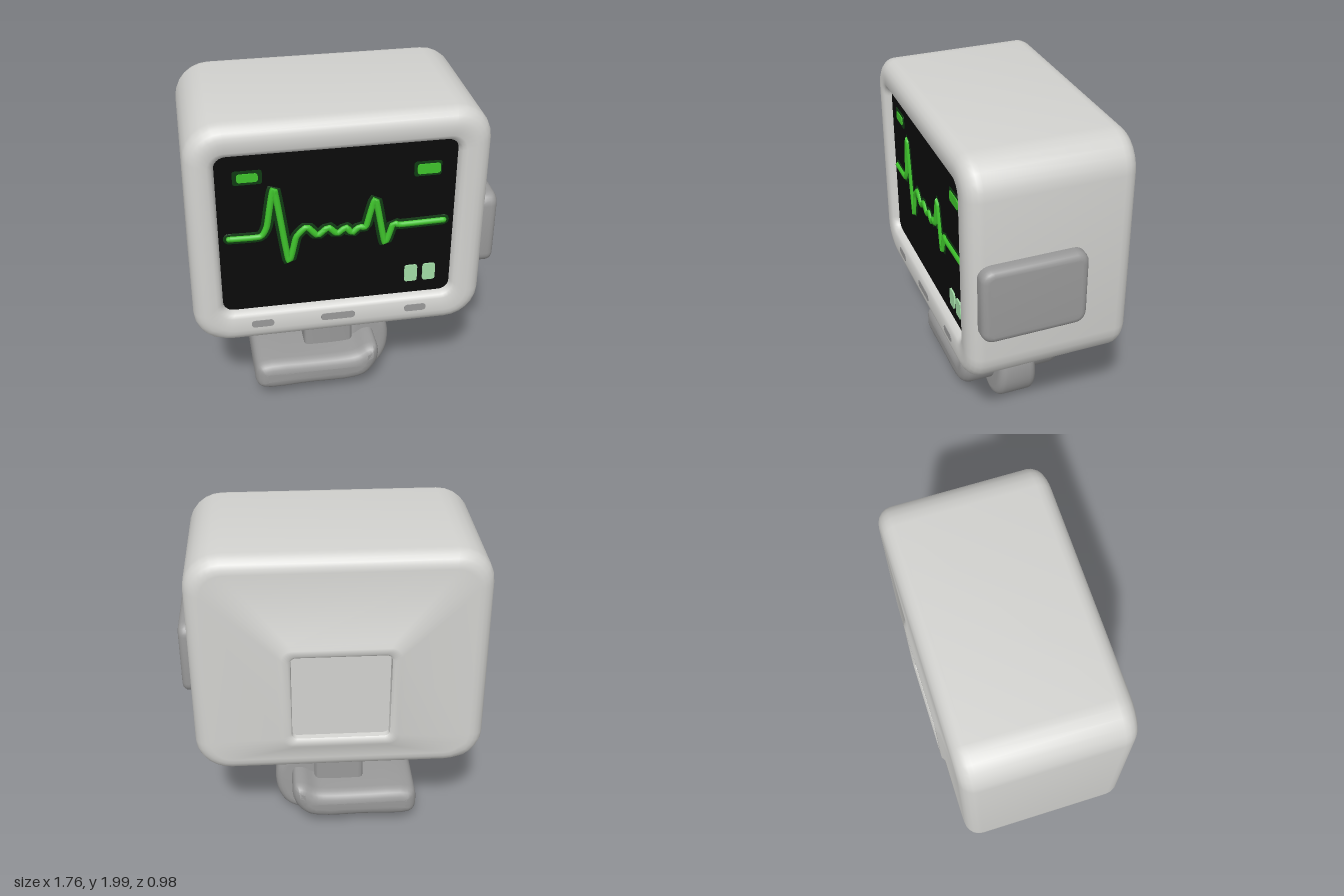
import * as THREE from 'three';
import { toCreasedNormals } from 'three/addons/utils/BufferGeometryUtils.js';

const mat = (name, color) => {
  const m = new THREE.MeshStandardMaterial({ color });
  m.name = name;
  return m;
};

// Rounded rectangle outline, counter-clockwise
function roundRect(x0, x1, y0, y1, r, k = 6) {
  const pts = [];
  const corners = [[x1 - r, y0 + r], [x1 - r, y1 - r], [x0 + r, y1 - r], [x0 + r, y0 + r]];
  corners.forEach(([cx, cy], q) => {
    for (let i = 0; i <= k; i++) {
      const a = (q - 1 + i / k) * Math.PI / 2;
      pts.push(new THREE.Vector2(cx + r * Math.cos(a), cy + r * Math.sin(a)));
    }
  });
  return pts;
}

// Skin over rounded rectangles [x0, x1, y0, y1, radius, z], capped at both ends
function loft(rings) {
  const pos = [], idx = [], n = 28;
  rings.forEach(([x0, x1, y0, y1, r, z]) =>
    roundRect(x0, x1, y0, y1, r).forEach(p => pos.push(p.x, p.y, z)));
  const last = rings.length - 1;
  for (const [x0, x1, y0, y1, , z] of [rings[0], rings[last]]) pos.push((x0 + x1) / 2, (y0 + y1) / 2, z);
  const c = rings.length * n;
  for (let i = 0; i < n; i++) {
    const j = (i + 1) % n;
    for (let s = 0; s < last; s++) {
      const a = s * n, b = a + n;
      idx.push(a + i, a + j, b + j, a + i, b + j, b + i);
    }
    idx.push(c, j, i, c + 1, last * n + i, last * n + j);
  }
  const g = new THREE.BufferGeometry();
  g.setAttribute('position', new THREE.Float32BufferAttribute(pos, 3));
  g.setIndex(idx);
  return g;
}

// Outline extruded from z0 to z1 with rounded edges inside the outline
function slab(pts, z0, z1, bevel) {
  const g = new THREE.ExtrudeGeometry(new THREE.Shape(pts), {
    depth: z1 - z0 - 2 * bevel, bevelEnabled: bevel > 0, bevelThickness: bevel,
    bevelSize: bevel, bevelOffset: -bevel, bevelSegments: 4,
  });
  return g.translate(0, 0, z0 + bevel);
}

// Smooth closed outline through a few points
const blob = pts => new THREE.CatmullRomCurve3(
  pts.map(([x, y]) => new THREE.Vector3(x, y, 0)), true, 'centripetal')
  .getPoints(48).slice(0, -1).map(p => new THREE.Vector2(p.x, p.y));

export function createModel() {
  const model = new THREE.Group();
  const shellMat = mat('light grey', 0xd2d2cf);
  const greyMat = mat('mid grey', 0x999999);
  const blackMat = mat('screen black', 0x0a0a0a);
  const greenMat = mat('trace green', 0x3fc42c);
  const glowMat = mat('dark green', 0x0f3a12);
  const paleMat = mat('pale green', 0xa2dca6);

  const add = (name, geo, material, smooth = 0.7) => {
    const mesh = new THREE.Mesh(toCreasedNormals(geo, smooth), material);
    mesh.name = name;
    model.add(mesh);
    return mesh;
  };

  // Housing: back hatch recess, raised hatch rim, rounded shell, recessed screen bezel
  const X0 = -0.865, X1 = 0.805, Y0 = 0.61, Y1 = 2.0;
  const edge = (i, z, r = 0.2) => [X0 + i, X1 - i, Y0 + i, Y1 - i, r - i * 0.8, z];
  const rings = [
    [-0.32, 0.24, 0.85, 1.39, 0.03, -0.45],
    [-0.325, 0.245, 0.845, 1.395, 0.035, -0.48],
    [-0.34, 0.26, 0.83, 1.41, 0.05, -0.492],
    [-0.375, 0.295, 0.795, 1.445, 0.06, -0.492],
    [-0.4, 0.32, 0.77, 1.47, 0.07, -0.475],
  ];
  const R = 0.09;
  for (let i = 0; i <= 5; i++) {
    const a = i / 5 * Math.PI / 2;
    rings.push(edge(R * (1 - Math.sin(a)), -0.475 + R * (1 - Math.cos(a))));
  }
  for (let i = 0; i <= 5; i++) {
    const a = i / 5 * Math.PI / 2;
    rings.push(edge(R * (1 - Math.cos(a)), 0.487 - R * (1 - Math.sin(a))));
  }
  rings.push(
    [-0.745, 0.655, 0.785, 1.855, 0.09, 0.485],
    [-0.725, 0.635, 0.805, 1.835, 0.08, 0.475],
    [-0.712, 0.622, 0.818, 1.822, 0.07, 0.455],
    [-0.708, 0.618, 0.822, 1.818, 0.06, 0.43]);
  const shell = loft(rings);
  const sp = shell.attributes.position;
  for (let i = 0; i < sp.count; i++) { // right flank flares slightly towards the bottom
    if (sp.getX(i) < -0.75) sp.setX(i, sp.getX(i) - 0.018 * (Y1 - sp.getY(i)) / (Y1 - Y0));
  }
  add('housing', shell, shellMat);

  // Screen
  const SZ = 0.438;
  add('screen', slab(roundRect(-0.708, 0.618, 0.822, 1.818, 0.06), SZ - 0.008, SZ, 0), blackMat);

  // Pulse trace with its glow
  const path = new THREE.CatmullRomCurve3([
    [-0.65, 1.305], [-0.48, 1.305], [-0.44, 1.37], [-0.395, 1.6], [-0.325, 1.13], [-0.28, 1.28],
    [-0.22, 1.34], [-0.16, 1.28], [-0.1, 1.325], [-0.05, 1.28], [0, 1.315], [0.035, 1.275],
    [0.075, 1.31], [0.115, 1.31], [0.165, 1.48], [0.225, 1.19], [0.27, 1.31], [0.31, 1.3], [0.56, 1.305],
  ].map(([x, y]) => new THREE.Vector3(x, y, 0)), false, 'catmullrom', 0.25);
  const trace = (name, radius, flat, z, material) => {
    const tube = new THREE.TubeGeometry(path, 180, radius, 8).scale(1, 1, flat).translate(0, 0, z);
    add(name, tube, material, 1.2);
    for (const t of [0, 1]) {
      const p = path.getPoint(t);
      add(name + 'End', new THREE.SphereGeometry(radius, 12, 8).scale(1, 1, flat).translate(p.x, p.y, z), material, 1.2);
    }
  };
  trace('traceGlow', 0.034, 0.08, SZ, glowMat);
  trace('pulseTrace', 0.018, 0.8, SZ + 0.004, greenMat);

  // Screen indicators: [name, x, y, width, height, material, front offset]
  const marks = [
    ['indicatorGlow', -0.535, 1.68, 0.16, 0.085, glowMat, 0.003],
    ['indicator', -0.535, 1.68, 0.115, 0.05, greenMat, 0.009],
    ['indicatorGlow', 0.455, 1.645, 0.155, 0.09, glowMat, 0.003],
    ['indicator', 0.46, 1.645, 0.13, 0.06, greenMat, 0.009],
    ['statusTile', 0.385, 0.96, 0.075, 0.11, paleMat, 0.009],
    ['statusTile', 0.492, 0.96, 0.075, 0.11, paleMat, 0.009],
  ];
  for (const [name, x, y, w, h, m, off] of marks) {
    add(name, slab(roundRect(x - w / 2, x + w / 2, y - h / 2, y + h / 2, 0.015), SZ, SZ + off, 0), m);
  }

  // Buttons under the screen
  for (const [x, w] of [[-0.49, 0.13], [-0.05, 0.2], [0.41, 0.13]]) {
    add('button', slab(roundRect(x - w / 2, x + w / 2, 0.717, 0.763, 0.02), 0.48, 0.489, 0), greyMat);
  }

  // Side module on the left flank
  const side = slab(roundRect(-0.44, 0.17, 0.97, 1.43, 0.07), 0.76, 0.88, 0.04);
  add('sideModule', side.rotateY(Math.PI / 2), greyMat);

  // Collar and neck, extruded upwards
  const post = (name, x0, x1, hz, y0, y1, r, bevel) =>
    add(name, slab(roundRect(x0, x1, -hz, hz, r), y0, y1, bevel).rotateX(-Math.PI / 2), greyMat);
  post('collar', -0.25, 0.15, 0.205, 0.53, 0.63, 0.06, 0.02);
  post('neck', -0.205, 0.1, 0.165, 0.25, 0.56, 0.03, 0);

  // Foot plate with its left end curling upwards
  add('footPlate', slab(blob([
    [-0.535, 0.19], [-0.525, 0.12], [-0.48, 0.09], [-0.2, 0.09], [0.08, 0.09], [0.17, 0.12], [0.23, 0.2],
    [0.245, 0.28], [0.225, 0.335], [0.17, 0.335], [0.1, 0.295], [0.02, 0.285], [-0.2, 0.285], [-0.47, 0.285],
    [-0.52, 0.26],
  ]), -0.335, 0.345, 0.075), greyMat, 0.9);

  // Clamp wrapped around the curled end, wider at the bottom
  const clamp = slab(blob([
    [0.02, 0.09], [0.08, 0.03], [0.17, 0.005], [0.27, 0.04], [0.335, 0.15], [0.34, 0.32],
    [0.29, 0.415], [0.2, 0.45], [0.11, 0.415], [0.07, 0.3],
  ]), -0.14, 0.14, 0.055);
  const cp = clamp.attributes.position;
  for (let i = 0; i < cp.count; i++) cp.setZ(i, cp.getZ(i) * (1 - 0.5 * cp.getY(i)) + 0.008);
  add('clamp', clamp, greyMat, 0.9);

  return model;
}
